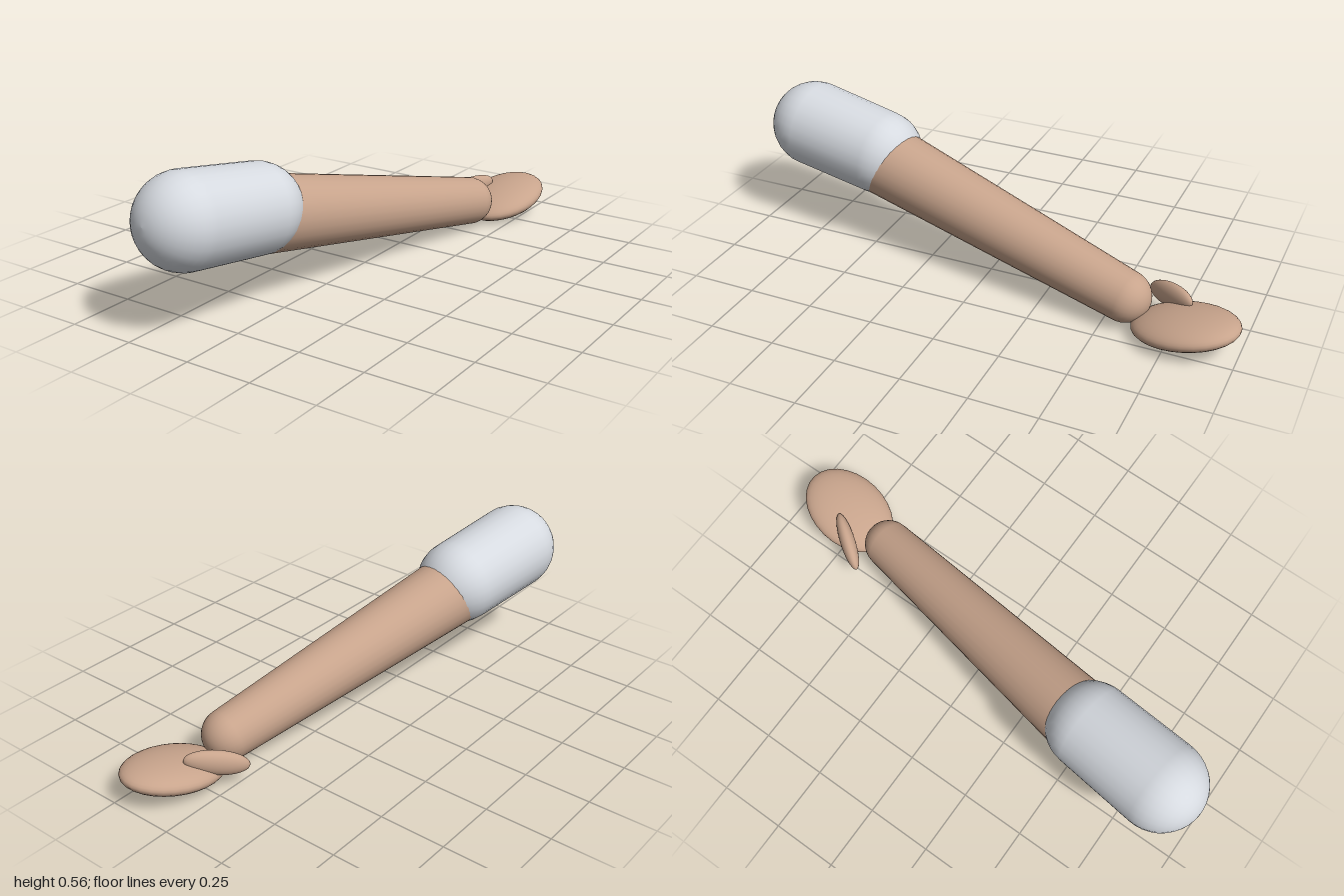
import * as THREE from 'three';

const v = (x, y, z) => new THREE.Vector3(x, y, z);

// Rounded, tapered limb: two spheres joined by their common tangent cone
function limb(name, a, ra, b, rb, material) {
  const axis = b.clone().sub(a);
  const length = axis.length();
  const tilt = Math.asin((ra - rb) / length);
  const points = [];
  const cap = (r, y, from, to) => {
    for (let i = 0; i <= 10; i++) {
      const t = from + (to - from) * i / 10;
      points.push(new THREE.Vector2(Math.max(0, r * Math.cos(t)), y + r * Math.sin(t)));
    }
  };
  cap(ra, 0, -Math.PI / 2, tilt);
  cap(rb, length, tilt, Math.PI / 2);
  const mesh = new THREE.Mesh(new THREE.LatheGeometry(points, 28), material);
  mesh.name = name;
  mesh.position.copy(a);
  mesh.quaternion.setFromUnitVectors(v(0, 1, 0), axis.normalize());
  return mesh;
}

// Ellipsoid with its local z axis laid along a direction
function ellipsoid(name, center, radii, direction, material) {
  const mesh = new THREE.Mesh(new THREE.SphereGeometry(1, 28, 20), material);
  mesh.name = name;
  mesh.scale.copy(radii);
  mesh.position.copy(center);
  mesh.lookAt(center.clone().add(direction));
  return mesh;
}

export function createModel() {
  const skin = new THREE.MeshStandardMaterial({ color: 0xc8a48c });
  skin.name = 'skin';
  const cloth = new THREE.MeshStandardMaterial({ color: 0xd6dae0 });
  cloth.name = 'pale grey cloth';

  const group = new THREE.Group();
  group.name = 'arm';
  group.add(
    // Sleeve over the shoulder end
    limb('sleeve', v(-0.142, 0.394, 0.831), 0.169, v(-0.099, 0.352, 0.515), 0.163, cloth),
    // Bare arm tapering to the wrist
    limb('forearm', v(-0.094, 0.328, 0.5), 0.141, v(0.124, 0.11, -0.572), 0.095, skin),
    // Flat hand and thumb
    ellipsoid('hand', v(0.163, 0.071, -0.805), v(0.146, 0.056, 0.2), v(0.12, 0.2, -0.97), skin),
    ellipsoid('thumb', v(0.04, 0.103, -0.715), v(0.03, 0.047, 0.118), v(0.57, 0.26, -0.78), skin),
  );
  return group;
}
